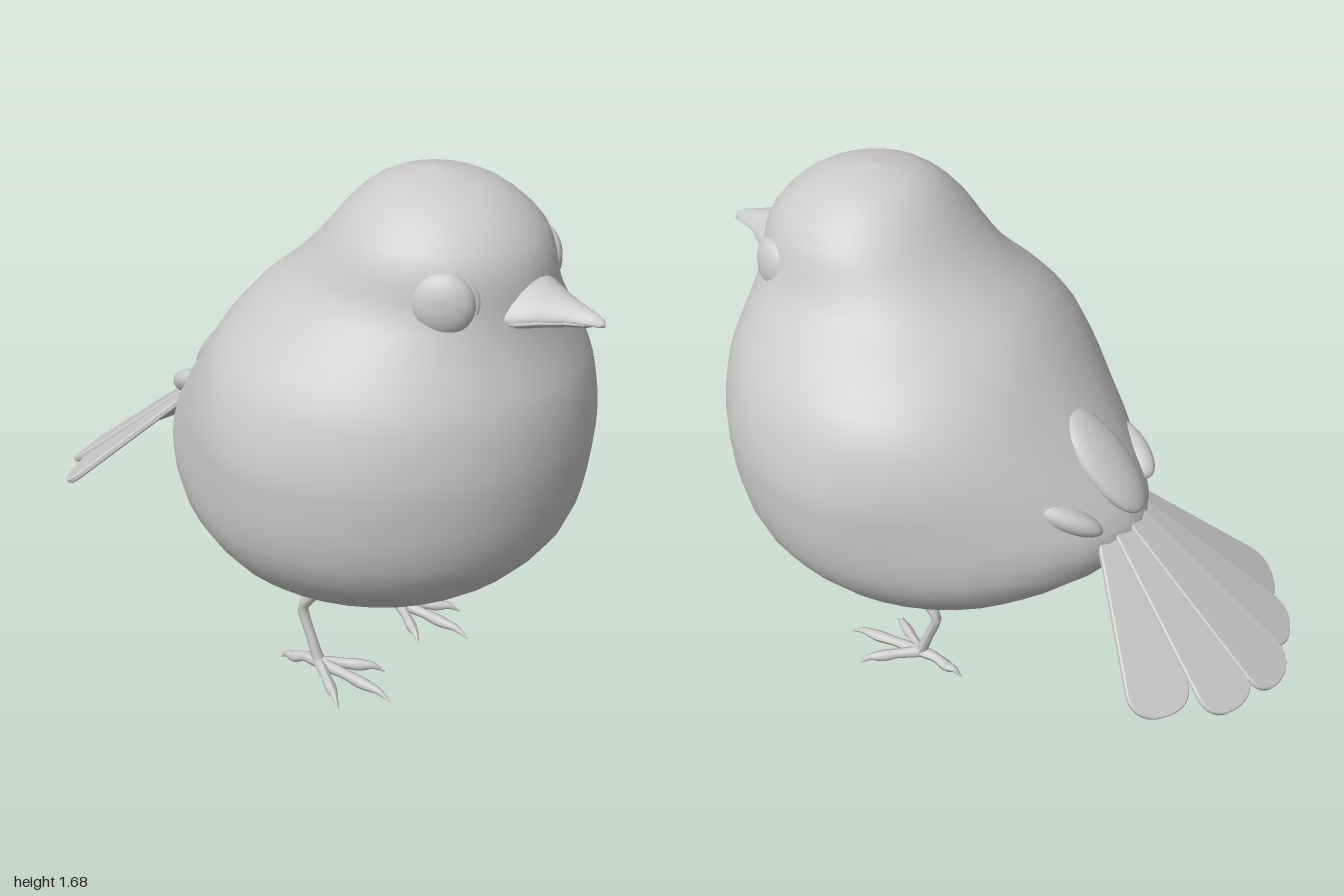
import * as THREE from 'three';

const grey = new THREE.MeshStandardMaterial({ color: 0xcccccc });
const V = (x, y, z) => new THREE.Vector3(x, y, z);

function add(parent, name, geometry) {
  const mesh = new THREE.Mesh(geometry, grey);
  mesh.name = name;
  parent.add(mesh);
  return mesh;
}

// Skin closed rings of points into one smooth surface
function loft(rings) {
  const n = rings[0].length, index = [];
  for (let j = 0; j < rings.length - 1; j++) {
    for (let i = 0; i < n; i++) {
      const a = j * n + i, b = j * n + (i + 1) % n;
      index.push(a, b, a + n, b, b + n, a + n);
    }
  }
  const g = new THREE.BufferGeometry().setFromPoints(rings.flat());
  g.setIndex(index);
  g.computeVertexNormals();
  return g;
}

// Tube along points whose radius follows a list
function taperedTube(points, radii, sides = 8) {
  const curve = new THREE.CatmullRomCurve3(points, false, 'catmullrom', 0.3);
  const steps = (points.length - 1) * 4;
  const g = new THREE.TubeGeometry(curve, steps, 1, sides, false);
  const p = g.attributes.position, v = V(0, 0, 0);
  for (let j = 0; j <= steps; j++) {
    const c = curve.getPointAt(j / steps);
    const f = (j / steps) * (radii.length - 1), k = Math.min(Math.floor(f), radii.length - 2);
    const r = THREE.MathUtils.lerp(radii[k], radii[k + 1], f - k);
    for (let i = 0; i <= sides; i++) {
      const id = j * (sides + 1) + i;
      v.fromBufferAttribute(p, id).sub(c).multiplyScalar(r).add(c);
      p.setXYZ(id, v.x, v.y, v.z);
    }
  }
  g.computeVertexNormals();
  return g;
}

// Body and head: height, half width, front z, back z, z of widest point, roundness of back
function bodyGeometry() {
  const rows = [
    [0.31, 0, 0.22, 0.22, 0.22, 2], [0.318, 0.11, 0.34, 0.1, 0.22, 2],
    [0.35, 0.24, 0.46, -0.02, 0.22, 2], [0.42, 0.38, 0.62, -0.15, 0.22, 2],
    [0.5, 0.49, 0.74, -0.28, 0.23, 1.9], [0.62, 0.58, 0.84, -0.44, 0.24, 1.75],
    [0.74, 0.615, 0.88, -0.515, 0.25, 1.6], [0.85, 0.627, 0.895, -0.47, 0.25, 1.6],
    [0.96, 0.63, 0.9, -0.38, 0.25, 1.7], [1.1, 0.595, 0.885, -0.26, 0.26, 1.9],
    [1.2, 0.54, 0.85, -0.18, 0.28, 2], [1.3, 0.45, 0.815, -0.09, 0.33, 2],
    [1.38, 0.37, 0.8, 0.01, 0.39, 2], [1.46, 0.335, 0.79, 0.1, 0.43, 2],
    [1.54, 0.3, 0.76, 0.17, 0.45, 2], [1.62, 0.22, 0.68, 0.24, 0.45, 2],
    [1.67, 0.13, 0.58, 0.32, 0.45, 2], [1.693, 0, 0.45, 0.45, 0.45, 2],
  ];
  const spline = (a, b, c) => new THREE.CatmullRomCurve3(
    rows.map(r => V(r[a], r[b], r[c])), false, 'catmullrom', 0.5);
  const A = spline(0, 1, 4), B = spline(2, 3, 5);
  const steps = (rows.length - 1) * 2, around = 40, rings = [];
  for (let j = 0; j <= steps; j++) {
    const { x: y, y: w, z: mid } = A.getPoint(j / steps);
    const { x: front, y: back, z: power } = B.getPoint(j / steps);
    const headShift = -0.03 * THREE.MathUtils.smoothstep(y, 1.2, 1.5);
    const rump = 0.05 * (1 - THREE.MathUtils.smoothstep(y, 1.0, 1.4));
    rings.push(Array.from({ length: around }, (_, i) => {
      const a = (i / around) * Math.PI * 2, s = Math.sin(a), c = Math.cos(a);
      const e = c < 0 ? 2 / power : 1;
      const x = Math.sign(s) * Math.abs(s) ** e * w;
      const t = Math.abs(c) ** e;
      const z = c < 0 ? mid + (back - mid) * t : mid + (front - mid) * t;
      return V(x + headShift + (c < 0 ? rump * t * t : 0), y, z);
    }));
  }
  return loft(rings);
}

// Half of the beak: each section is z, half width, seam height, ridge height
function beakGeometry(sections) {
  return loft(sections.map(([z, w, seam, ridge]) => {
    const x0 = -0.035 - 0.015 * (z - 0.74) / 0.26;
    return Array.from({ length: 20 }, (_, i) => {
      const a = (i / 20) * Math.PI * 2, s = Math.sin(a), c = Math.cos(a);
      const up = ridge > seam ? s > 0 : s < 0;
      const y = up ? seam + Math.abs(s) ** 1.5 * (ridge - seam) : seam + 0.006 * s;
      return V(x0 + c * w, y, z);
    });
  }));
}

// Tail feather: narrow root, broad rounded end
function featherGeometry(length, root, tip) {
  const s = new THREE.Shape();
  s.moveTo(-root, -0.08);
  s.lineTo(root, -0.08);
  s.lineTo(tip, length - 0.08);
  s.bezierCurveTo(tip, length - 0.02, tip * 0.5, length, 0, length);
  s.bezierCurveTo(-tip * 0.5, length, -tip, length - 0.02, -tip, length - 0.08);
  return new THREE.ExtrudeGeometry(s, {
    depth: 0.012, bevelEnabled: true, bevelThickness: 0.004, bevelSize: 0.004,
    bevelSegments: 1, curveSegments: 8,
  });
}

function makeFoot(x, side) {
  const leg = new THREE.Group();
  leg.name = side + 'Leg';
  add(leg, 'shank', taperedTube(
    [V(0, 0.38, 0.23), V(0, 0.325, 0.19), V(0, 0.24, 0.125), V(0, 0.15, 0.155), V(0, 0.06, 0.19)],
    [0.022, 0.018, 0.017, 0.016, 0.019]));
  // Three toes forward, one back, each ending in a claw
  const toes = [[0, 0.47], [-0.125, 0.36], [0.12, 0.36], [0, 0.035]];
  toes.forEach(([tx, tz], i) => {
    const at = (f, y) => V(tx * f, y, 0.19 + (tz - 0.19) * f);
    const drop = i === 3 ? 0.015 : 0;
    add(leg, i === 3 ? 'backToe' : 'frontToe', taperedTube(
      [at(-0.04, 0.058), at(0.35, 0.056), at(0.65, 0.05 - drop), at(0.82, 0.05 - drop), at(1, 0.028 - drop)],
      [0.02, 0.019, 0.016, 0.02, 0.012, 0.002]));
  });
  leg.position.x = x;
  return leg;
}

export function createModel() {
  const bird = new THREE.Group();
  bird.name = 'bird';
  add(bird, 'body', bodyGeometry());

  // Eyes with thin lids, facing out and a little forward
  for (const s of [-1, 1]) {
    const eye = new THREE.Group();
    eye.name = s > 0 ? 'leftEye' : 'rightEye';
    add(eye, 'eyeball', new THREE.SphereGeometry(0.088, 24, 16)).scale.z = 0.5;
    add(eye, 'eyelid', new THREE.TorusGeometry(0.088, 0.012, 8, 32)).position.z = -0.015;
    eye.position.set(s * 0.252 - 0.03, 1.415, 0.645);
    eye.rotation.y = s * 1.08;
    bird.add(eye);
  }

  // Beak
  add(bird, 'upperBeak', beakGeometry([
    [0.72, 0.14, 1.36, 1.47], [0.79, 0.132, 1.362, 1.452], [0.84, 0.095, 1.368, 1.434],
    [0.9, 0.053, 1.372, 1.416], [0.96, 0.03, 1.372, 1.4], [0.99, 0.017, 1.37, 1.387], [1.0, 0, 1.372, 1.374]]));
  add(bird, 'lowerBeak', beakGeometry([
    [0.72, 0.13, 1.35, 1.31], [0.79, 0.12, 1.352, 1.318], [0.84, 0.085, 1.358, 1.33],
    [0.9, 0.045, 1.362, 1.343], [0.95, 0.022, 1.364, 1.353], [0.975, 0, 1.364, 1.363]]));

  // Tail fan, arched so that the outer feathers hang lower
  const tail = new THREE.Group();
  tail.name = 'tail';
  const tips = [V(-0.275, 0.41, -0.83), V(-0.1, 0.385, -0.95), V(0.085, 0.37, -0.995),
    V(0.27, 0.385, -0.93), V(0.425, 0.41, -0.77)];
  tips.forEach((tip, i) => {
    const k = i - 2;
    const root = V(0.05 + k * 0.04, 0.825 - Math.abs(k) * 0.014, -0.42);
    const dir = tip.clone().sub(root), length = dir.length();
    dir.normalize();
    const across = dir.clone().cross(V(k * 0.15, 0.78, -0.62)).normalize();
    const normal = across.clone().cross(dir);
    const feather = add(tail, 'tailFeather', featherGeometry(length, 0.026, 0.1));
    feather.quaternion.setFromRotationMatrix(new THREE.Matrix4().makeBasis(across, dir, normal));
    feather.position.copy(root);
  });
  bird.add(tail);

  // Rounded feather tufts over the tail root
  const tufts = [
    ['rumpTuft', V(0.05, 0.95, -0.375), V(0, -0.73, -0.68), 0.1, 0.19, 0.045],
    ['rightTuft', V(-0.16, 0.86, -0.36), V(0.4, -0.4, -0.8), 0.055, 0.12, 0.04],
    ['leftTuft', V(0.25, 0.86, -0.35), V(-0.4, -0.4, -0.8), 0.055, 0.12, 0.04],
  ];
  for (const [name, at, dir, w, l, t] of tufts) {
    const tuft = add(bird, name, new THREE.SphereGeometry(1, 20, 14));
    tuft.scale.set(w, l, t);
    tuft.position.copy(at);
    tuft.quaternion.setFromUnitVectors(V(0, 1, 0), dir.normalize());
  }

  bird.add(makeFoot(0.22, 'left'), makeFoot(-0.215, 'right'));
  return bird;
}
